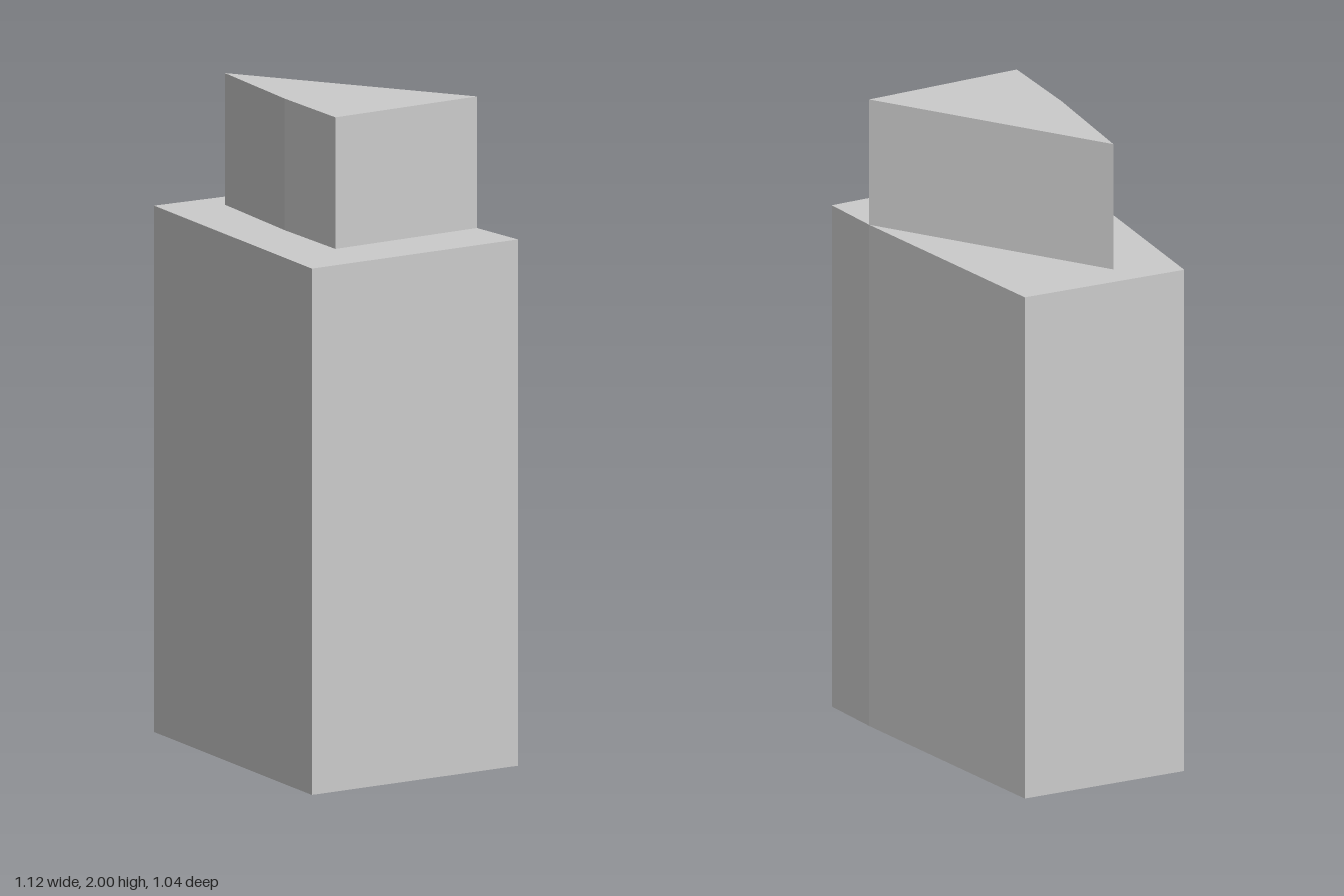
import * as THREE from 'three';

const material = new THREE.MeshStandardMaterial({ color: 0xcccccc, flatShading: true });

// Upright prism from a ground plan of [x, z] corners
function prism(name, plan, bottom, top) {
  const shape = new THREE.Shape(plan.map(([x, z]) => new THREE.Vector2(x, -z)));
  const geometry = new THREE.ExtrudeGeometry(shape, { depth: top - bottom, bevelEnabled: false });
  geometry.rotateX(-Math.PI / 2).translate(0, bottom, 0);
  const mesh = new THREE.Mesh(geometry, material);
  mesh.name = name;
  return mesh;
}

export function createModel() {
  const group = new THREE.Group();
  group.name = 'building';

  // Main block, with a slight bend in its back right wall
  group.add(prism('mainBlock', [
    [-0.56, -0.218], [0, 0.521], [0.56, 0.078], [0.422, -0.051], [-0.139, -0.521],
  ], 0, 1.6));

  // Narrow wedge-shaped upper storey, touching the back right wall
  group.add(prism('upperStorey', [
    [-0.354, -0.256], [-0.139, 0.045], [0.039, 0.264], [0.422, -0.051],
  ], 1.6, 2));

  return group;
}
